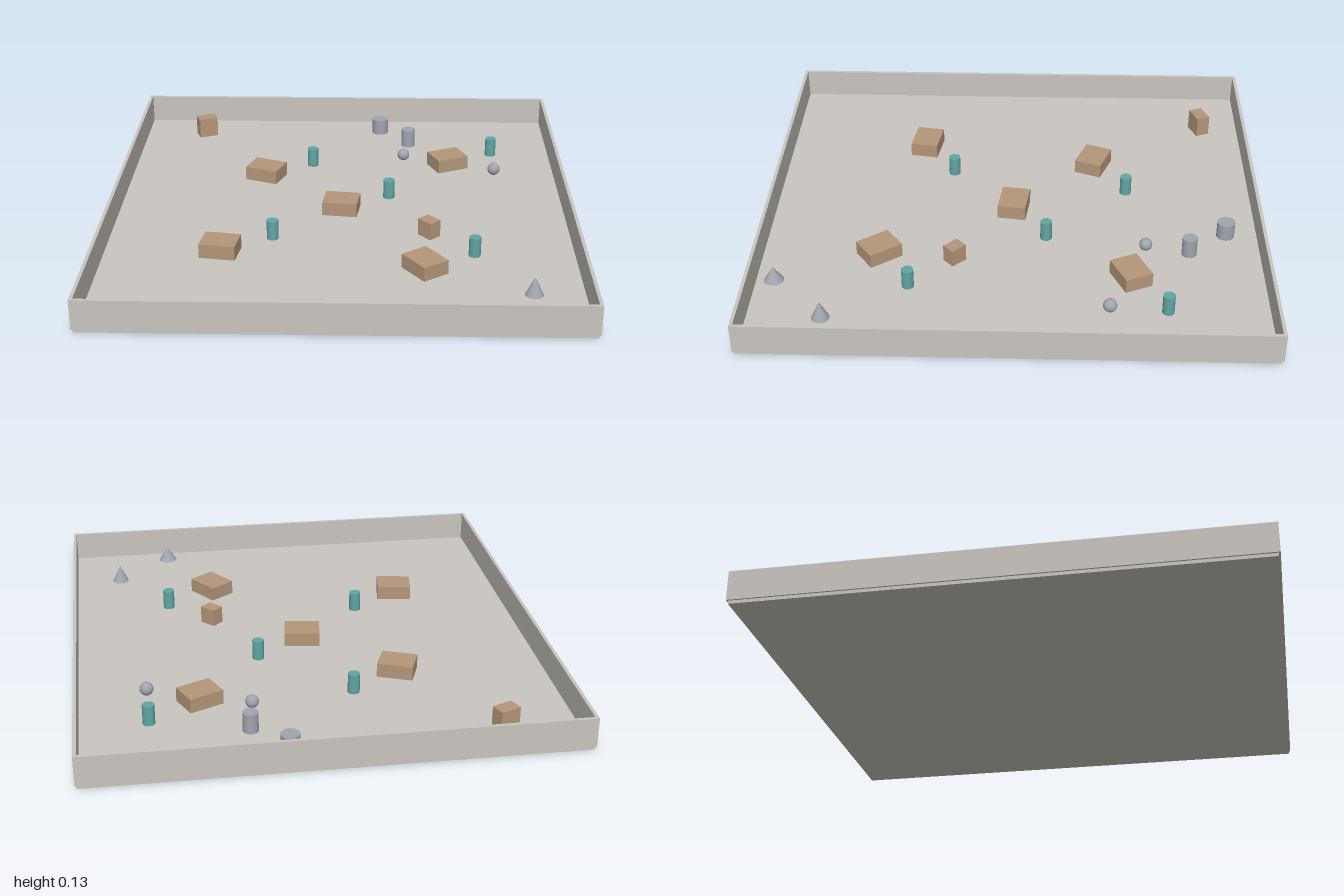
import * as THREE from 'three';

const mat = (name, color) => {
  const m = new THREE.MeshStandardMaterial({ color });
  m.name = name;
  return m;
};

export function createModel() {
  const model = new THREE.Group();
  const stone = mat('warm grey', 0xc9c5bf);
  const wood = mat('tan', 0xb5967a);
  const teal = mat('teal', 0x60a6a4);
  const steel = mat('cool grey', 0xa0a4ad);

  const add = (name, geometry, material, x, y, z, turn = 0) => {
    const mesh = new THREE.Mesh(geometry, material);
    mesh.name = name;
    mesh.position.set(x, y, z);
    mesh.rotation.y = turn;
    model.add(mesh);
  };

  // Arena: floor slab with four thin walls centred on its edges
  const FLOOR = 0.0132, T = 0.0132, W = 1.854, D = 1.987, TOP = 0.1325;
  const wallH = TOP - FLOOR, wallY = FLOOR + wallH / 2;
  add('floor', new THREE.BoxGeometry(W, FLOOR, D), stone, 0, FLOOR / 2, 0);
  for (const s of [-1, 1]) {
    add('sideWall', new THREE.BoxGeometry(T, wallH, D + T), stone, s * W / 2, wallY, 0);
    add('endWall', new THREE.BoxGeometry(W - T, wallH, T), stone, 0, wallY, s * D / 2);
  }

  // Crates: x, z, turn, width, height, depth
  for (const [x, z, turn, w, h, d] of [
    [0, 0, -0.13, 0.143, 0.058, 0.115],
    [-0.334, -0.334, -0.37, 0.143, 0.058, 0.115],
    [-0.465, 0.394, -0.15, 0.143, 0.058, 0.115],
    [0.46, -0.467, 0.43, 0.143, 0.058, 0.115],
    [0.33, 0.525, -0.946, 0.143, 0.058, 0.115],
    [-0.645, -0.815, 0.39, 0.084, 0.087, 0.058],
    [0.356, 0.224, -0.82, 0.07, 0.071, 0.056],
  ]) add('crate', new THREE.BoxGeometry(w, h, d), wood, x, FLOOR + h / 2, z, turn);

  // Upright posts and drums: x, z, radius, height
  const cylinder = (name, material, x, z, r, h) =>
    add(name, new THREE.CylinderGeometry(r, r, h, 24), material, x, FLOOR + h / 2, z);
  for (const [x, z] of [[0.198, -0.135], [-0.136, -0.467], [0.66, -0.6], [-0.268, 0.262], [0.528, 0.395]])
    cylinder('post', teal, x, z, 0.0235, 0.08);
  cylinder('drum', steel, 0.164, -0.86, 0.036, 0.068);
  cylinder('drum', steel, 0.291, -0.705, 0.03, 0.079);

  // Balls resting on the floor
  for (const [x, z, r] of [[0.267, -0.533, 0.026], [0.659, -0.38, 0.027]])
    add('ball', new THREE.SphereGeometry(r, 24, 16), steel, x, FLOOR + r, z);

  // Cones
  for (const [x, z, r, h] of [[0.729, 0.706, 0.035, 0.073], [0.504, 0.918, 0.039, 0.06]])
    add('cone', new THREE.ConeGeometry(r, h, 24), steel, x, FLOOR + h / 2, z);

  return model;
}
